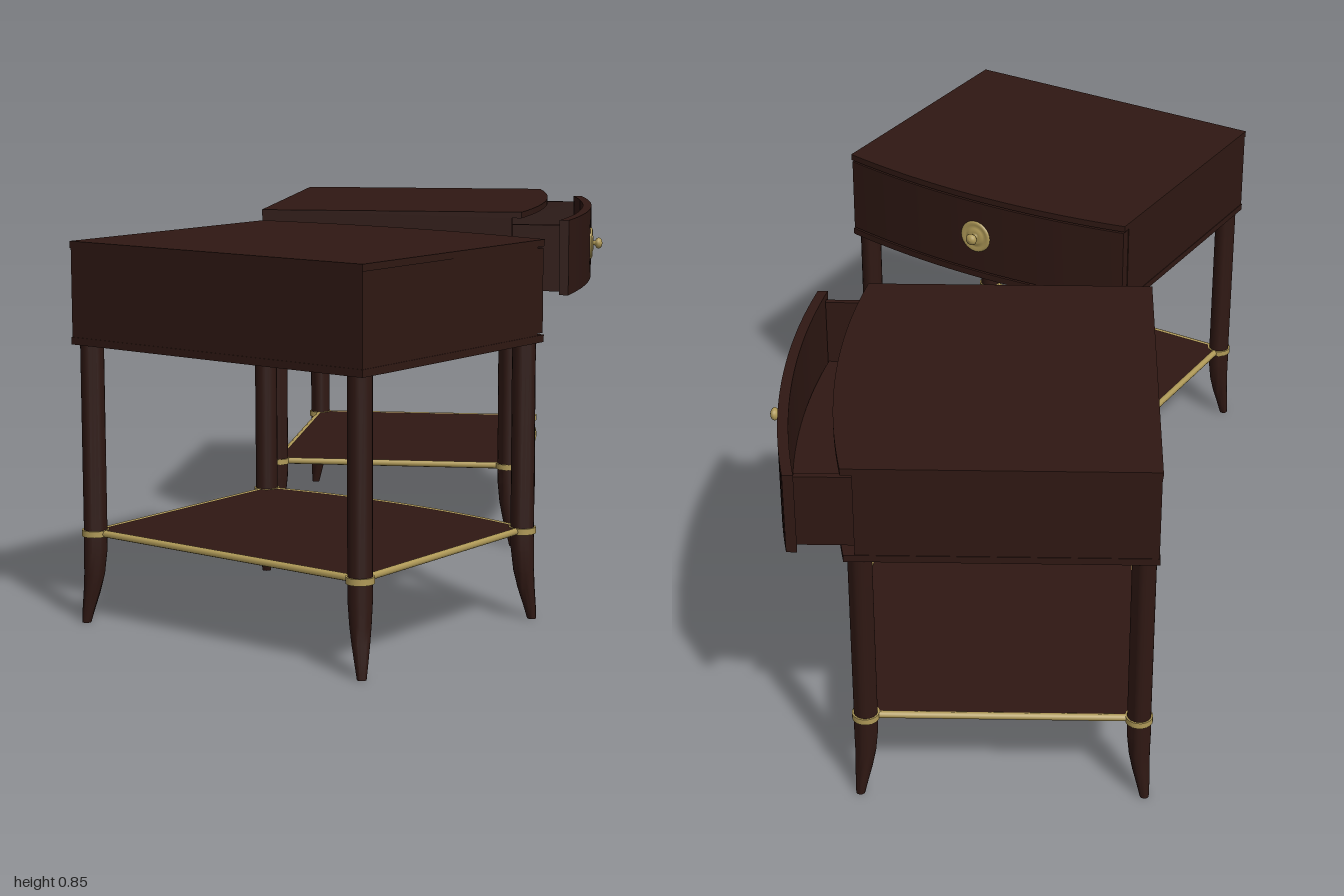
import * as THREE from 'three';
import { toCreasedNormals } from 'three/addons/utils/BufferGeometryUtils.js';

const wood = new THREE.MeshStandardMaterial({ color: 0x2f1813, side: THREE.DoubleSide });
const brass = new THREE.MeshStandardMaterial({ color: 0xb09a58 });

const HW = 0.398;   // half width of the case
const HD = 0.325;   // half depth, to the front corners
const BOW = 0.04;   // bulge of the front
const LEG_X = HW - 0.031, LEG_Z = HD - 0.031;

function add(parent, name, geometry, material = wood) {
  const mesh = new THREE.Mesh(geometry, material);
  mesh.name = name;
  parent.add(mesh);
  return mesh;
}

function box(parent, name, size, pos) {
  return add(parent, name, new THREE.BoxGeometry(...size)).position.set(...pos);
}

// Points along the bowed front, from +x to -x
function bowPoints(halfW, z, bow, n = 28) {
  const r = (halfW * halfW + bow * bow) / (2 * bow);
  return Array.from({ length: n + 1 }, (_, i) => {
    const x = halfW * (1 - 2 * i / n);
    return new THREE.Vector2(x, z + Math.sqrt(r * r - x * x) - (r - bow));
  });
}

// Horizontal plan of (x, z) points extruded between two heights
function slab(points, y0, y1) {
  const g = new THREE.ExtrudeGeometry(new THREE.Shape(points), { depth: y1 - y0, bevelEnabled: false });
  g.rotateX(Math.PI / 2).translate(0, y1, 0);
  return toCreasedNormals(g, 0.5);
}

function bowedPanel(halfW, back, front, y0, y1) {
  return slab([...bowPoints(halfW, front, BOW),
    new THREE.Vector2(-halfW, back), new THREE.Vector2(halfW, back)], y0, y1);
}

// Round leg with a tapering foot that sweeps outwards along +x
function legGeometry() {
  const rings = [[0, 0.01, 0.023], [0.03, 0.014, 0.018], [0.07, 0.019, 0.01], [0.11, 0.023, 0.004],
    [0.16, 0.026, 0.001], [0.2, 0.026, 0], [0.625, 0.026, 0]]; // height, radius, sweep
  const g = new THREE.CylinderGeometry(1, 1, 1, 18, rings.length - 1);
  const p = g.attributes.position;
  for (let i = 0; i < p.count; i++) {
    const [y, r, sweep] = rings[Math.round((p.getY(i) + 0.5) * (rings.length - 1))];
    p.setXYZ(i, p.getX(i) * r + sweep, y, p.getZ(i) * r);
  }
  return toCreasedNormals(g, 0.7);
}

function rail(parent, name, points) {
  const curve = new THREE.CatmullRomCurve3(points.map(v => new THREE.Vector3(v.x, 0.202, v.y)));
  add(parent, name, new THREE.TubeGeometry(curve, points.length > 2 ? 28 : 1, 0.008, 8), brass);
}

function createDrawer() {
  const drawer = new THREE.Group();
  drawer.name = 'drawer';
  // Bowed front of even thickness
  const outer = bowPoints(HW - 0.003, HD, BOW);
  const inner = bowPoints(HW - 0.003, HD - 0.023, BOW).reverse();
  add(drawer, 'drawerFront', slab([...outer, ...inner], 0.64, 0.826));
  // Open tray
  const len = 0.56, zc = HD - 0.02 - len / 2;
  for (const s of [-1, 1])
    box(drawer, 'drawerSide', [0.014, 0.165, len], [s * (HW - 0.027), 0.73, zc]);
  box(drawer, 'drawerBack', [2 * HW - 0.06, 0.165, 0.014], [0, 0.73, zc - len / 2 + 0.007]);
  add(drawer, 'drawerBottom', bowedPanel(HW - 0.028, zc - len / 2, HD - 0.023, 0.648, 0.658));
  // Knob on a ringed backplate
  const profile = [[0.041, 0], [0.041, 0.004], [0.036, 0.007], [0.03, 0.004], [0.022, 0.005],
    [0.018, 0.009], [0.012, 0.007], [0.006, 0.009], [0.006, 0.014], [0.012, 0.017], [0.015, 0.023],
    [0.012, 0.029], [0.006, 0.032], [0, 0.033]].map(a => new THREE.Vector2(...a));
  const knob = add(drawer, 'knob', new THREE.LatheGeometry(profile, 28), brass);
  knob.rotation.x = Math.PI / 2;
  knob.position.set(0, 0.733, HD + BOW - 0.002);
  return drawer;
}

function createTable(name, drawerPull) {
  const table = new THREE.Group();
  table.name = name;

  // Case: bowed top and bottom boards, side and back panels
  add(table, 'topBoard', bowedPanel(HW, -HD, HD, 0.83, 0.845));
  add(table, 'bottomBoard', bowedPanel(HW, -HD, HD, 0.62, 0.636));
  const sideLen = 2 * HD - 0.025;
  for (const s of [-1, 1])
    box(table, 'sidePanel', [0.016, 0.194, sideLen], [s * (HW - 0.0095), 0.733, -HD + sideLen / 2 + 0.0015]);
  box(table, 'backPanel', [2 * HW - 0.035, 0.194, 0.016], [0, 0.733, -HD + 0.0095]);

  const drawer = createDrawer();
  drawer.position.z = drawerPull;
  table.add(drawer);

  // Legs with brass collars
  const leg = legGeometry();
  for (const sx of [-1, 1]) for (const sz of [-1, 1]) {
    const m = add(table, 'leg', leg);
    m.position.set(sx * LEG_X, 0, sz * LEG_Z);
    m.rotation.y = Math.atan2(-sz, sx);
    add(table, 'legCollar', new THREE.CylinderGeometry(0.03, 0.03, 0.014, 18), brass)
      .position.set(sx * LEG_X, 0.202, sz * LEG_Z);
  }

  // Lower shelf edged with brass rails
  add(table, 'shelf', bowedPanel(LEG_X, -LEG_Z, LEG_Z, 0.196, 0.208));
  const v = (x, z) => new THREE.Vector2(x * LEG_X, z * LEG_Z);
  rail(table, 'frontRail', bowPoints(LEG_X, LEG_Z, BOW, 14));
  rail(table, 'backRail', [v(-1, -1), v(1, -1)]);
  rail(table, 'leftRail', [v(1, -1), v(1, 1)]);
  rail(table, 'rightRail', [v(-1, -1), v(-1, 1)]);
  return table;
}

export function createModel() {
  const model = new THREE.Group();
  model.name = 'nightstands';

  const closed = createTable('closedNightstand', 0);
  closed.position.set(-0.385, 0, 0.489);
  closed.rotation.y = THREE.MathUtils.degToRad(120);

  const open = createTable('openNightstand', 0.117);
  open.position.set(0.281, 0, -0.492);
  open.rotation.y = THREE.MathUtils.degToRad(60);

  model.add(closed, open);
  return model;
}
